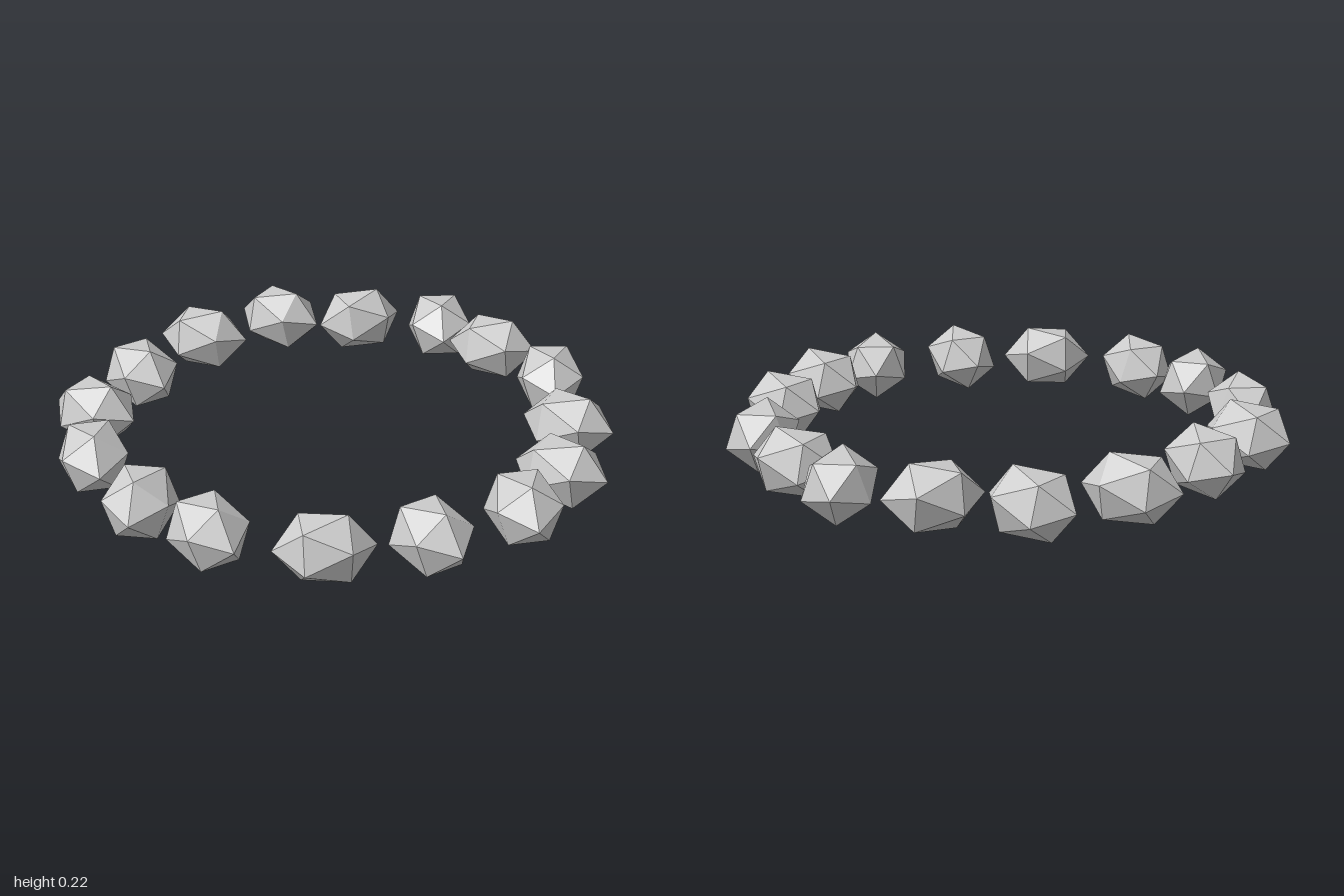
import * as THREE from 'three';

// Each stone: x, z, heading of its long axis in degrees (from +x towards +z)
const STONES = [
  [-0.01, -0.86, 61], [0.245, -0.77, -8], [0.53, -0.61, 63], [0.71, -0.295, 1],
  [0.80, 0.03, 4], [0.77, 0.305, 52], [0.575, 0.59, 31], [0.31, 0.795, -33],
  [-0.06, 0.86, 32], [-0.34, 0.795, 73], [-0.64, 0.605, 50], [-0.81, 0.32, 5],
  [-0.825, -0.01, 29], [-0.77, -0.375, -15], [-0.595, -0.665, 3], [-0.31, -0.78, -49],
];

export function createModel() {
  const group = new THREE.Group();
  group.name = 'stoneRing';
  const material = new THREE.MeshStandardMaterial({ color: 0xcccccc, flatShading: true });

  // Twenty-sided stone with a corner at each end, stretched along x
  const stone = new THREE.IcosahedronGeometry(1, 0);
  stone.rotateZ(-Math.atan((1 + Math.sqrt(5)) / 2));
  stone.scale(0.164, 0.123, 0.128);

  STONES.forEach(([x, z, heading], i) => {
    const mesh = new THREE.Mesh(stone, material);
    mesh.name = `stone${i + 1}`;
    mesh.position.set(x, 0.113, z);
    mesh.rotation.y = -THREE.MathUtils.degToRad(heading);
    group.add(mesh);
  });
  return group;
}
